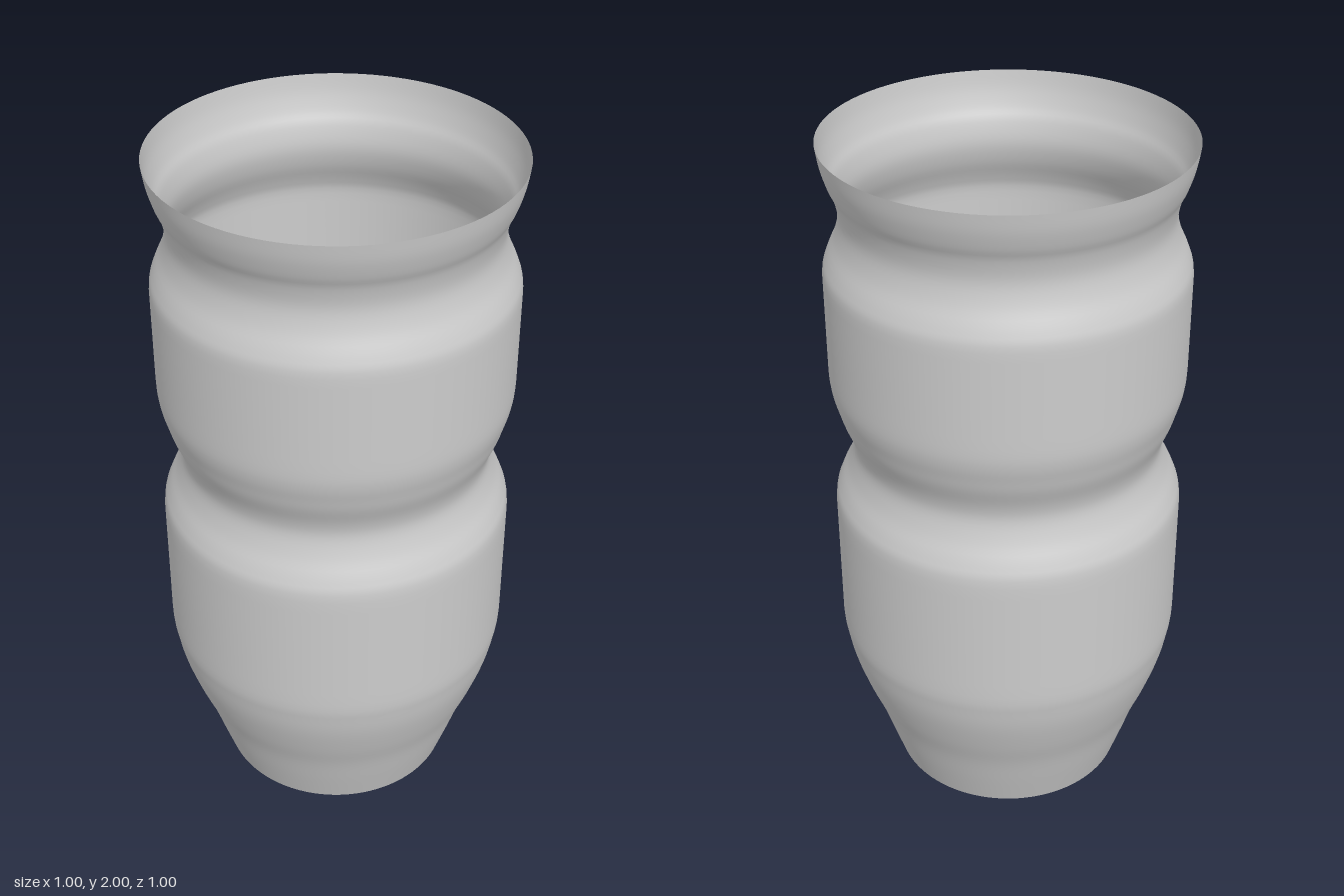
import * as THREE from 'three';

const SEGMENTS = 96;
const MAX_RADIUS = 0.5;

// Wall outline from foot to rim: [radius, height]
const OUTLINE = [
  [0.345, 0], [0.378, 0.1], [0.41, 0.2], [0.445, 0.29], [0.476, 0.385],
  [0.492, 0.46], [0.5, 0.53], [0.5, 0.72], [0.5, 0.91],
  [0.486, 0.97], [0.458, 1.03], [0.441, 1.09], [0.447, 1.14],
  [0.47, 1.2], [0.482, 1.24], [0.495, 1.29], [0.5, 1.35],
  [0.5, 1.5], [0.5, 1.63], [0.488, 1.68], [0.462, 1.74],
  [0.45, 1.8], [0.46, 1.86], [0.477, 1.9], [0.492, 1.95], [0.5, 2],
];

export function createModel() {
  const group = new THREE.Group();
  group.name = 'vase';

  // Smooth outline, kept within the straight bands' radius
  const curve = new THREE.SplineCurve(OUTLINE.map(([r, y]) => new THREE.Vector2(r, y)));
  const profile = curve.getPoints((OUTLINE.length - 1) * 4);
  for (const p of profile) p.x = Math.min(p.x, MAX_RADIUS);

  // Thin wall, open at both ends
  const wall = new THREE.Mesh(
    new THREE.LatheGeometry(profile, SEGMENTS),
    new THREE.MeshStandardMaterial({ color: 0xcccccc, side: THREE.DoubleSide }),
  );
  wall.name = 'wall';
  group.add(wall);

  return group;
}
